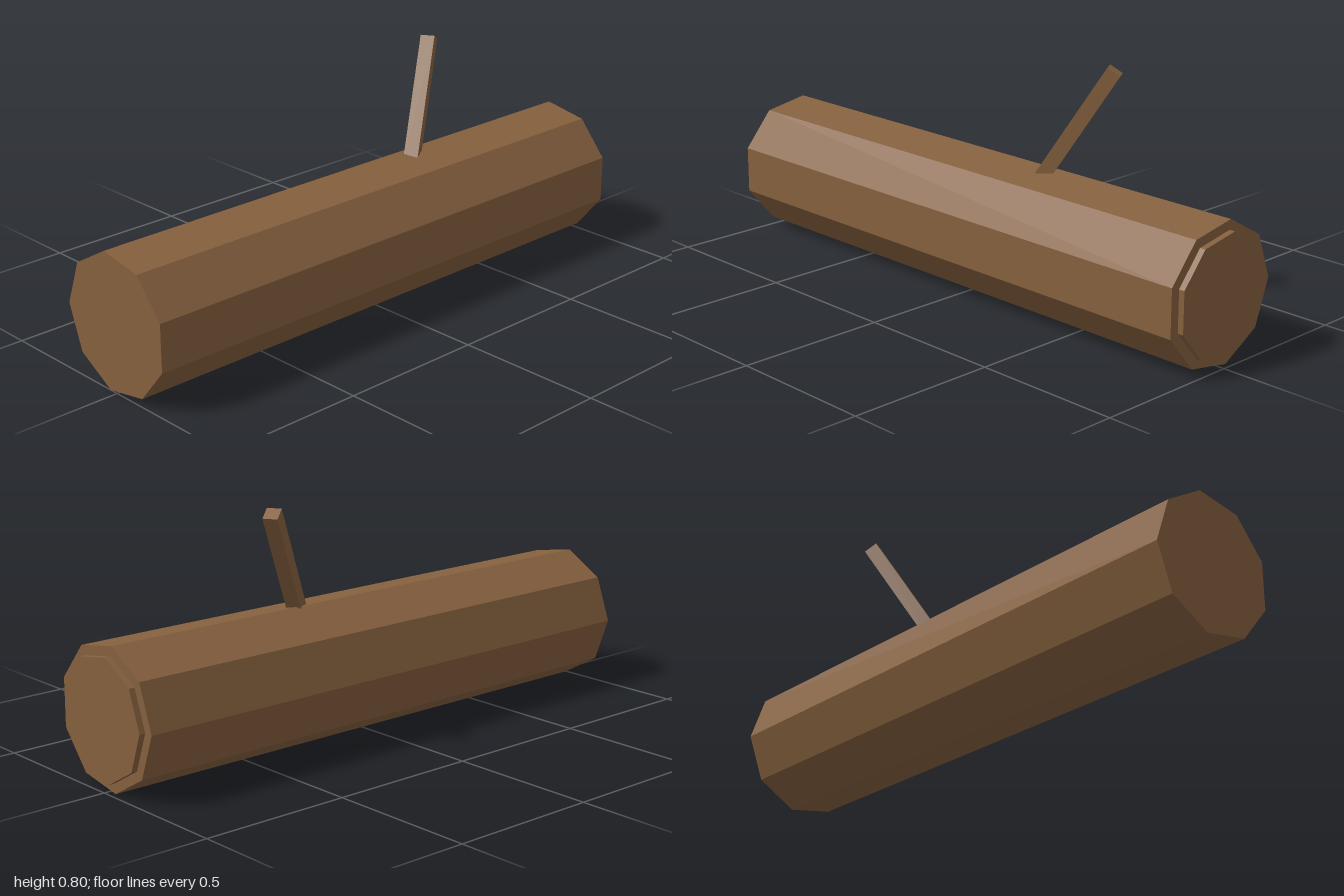
import * as THREE from 'three';

export function createModel() {
  const model = new THREE.Group();
  const bark = new THREE.MeshStandardMaterial({ color: 0x85603e });
  bark.name = 'brown bark';
  bark.flatShading = true;

  // Nine-sided prism lying along x, with one corner pointing to the back
  function prism(name, radius, x0, x1, z) {
    const geometry = new THREE.CylinderGeometry(radius, radius, x1 - x0, 9, 1, false, Math.PI);
    geometry.rotateZ(-Math.PI / 2);
    const mesh = new THREE.Mesh(geometry, bark);
    mesh.name = name;
    mesh.position.set((x0 + x1) / 2, 0.229, z);
    model.add(mesh);
  }
  prism('trunk', 0.2305, -1, 0.98, 0.0085);
  prism('cutEnd', 0.198, 0.97, 1, 0.0075);

  // Square twig leaning outwards, with its foot sunk into the trunk
  const length = 0.46;
  const twig = new THREE.BoxGeometry(0.048, length, 0.048);
  twig.translate(0, -length / 2, 0);
  twig.rotateZ(THREE.MathUtils.degToRad(-32.4));
  twig.rotateY(THREE.MathUtils.degToRad(31));
  const branch = new THREE.Mesh(twig, bark);
  branch.name = 'branch';
  branch.position.set(0.441, 0.789, -0.116);
  model.add(branch);

  return model;
}
